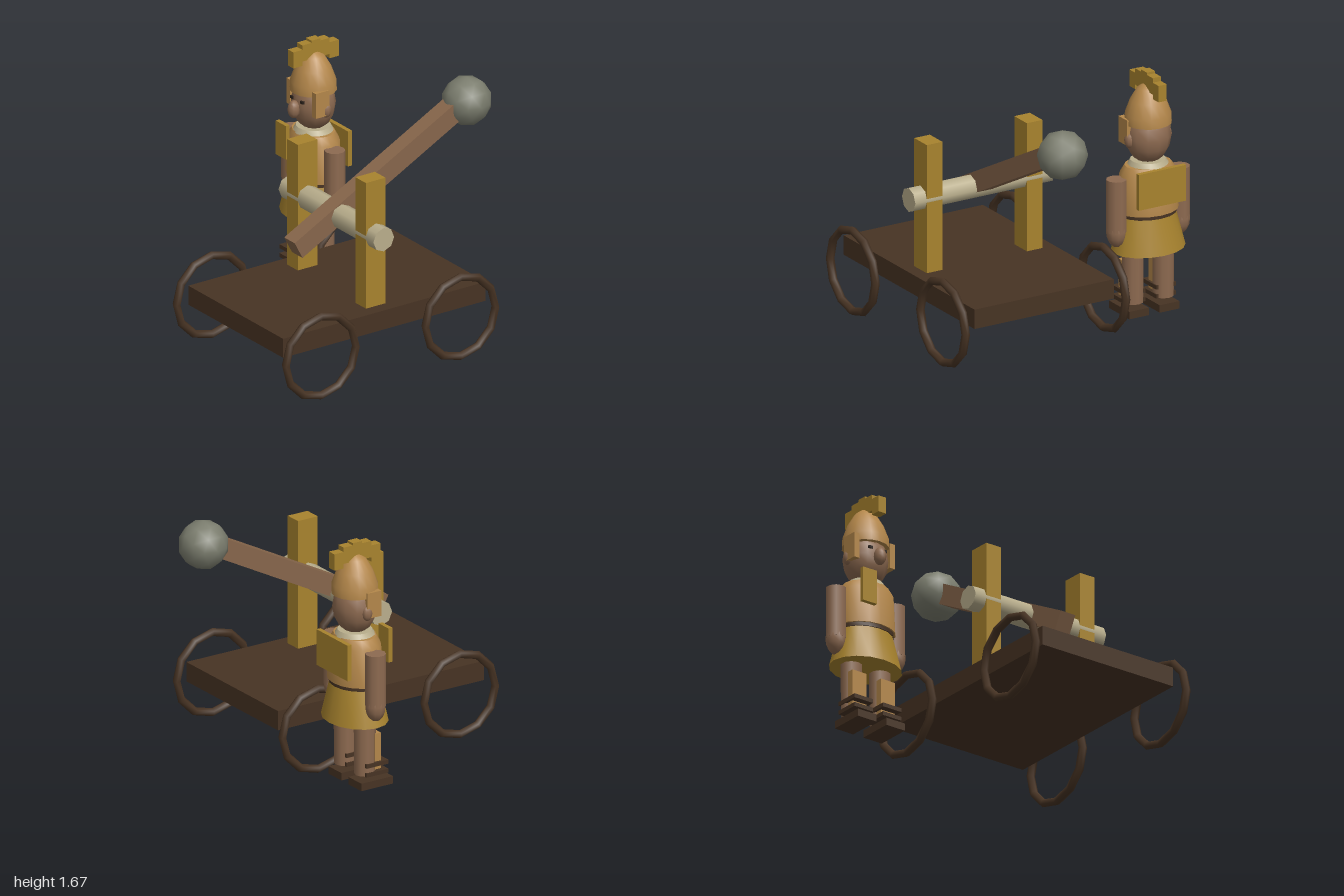
import * as THREE from 'three';
import { toCreasedNormals } from 'three/addons/utils/BufferGeometryUtils.js';

const material = (name, color) => {
  const m = new THREE.MeshStandardMaterial({ color });
  m.name = name;
  return m;
};

export function createModel() {
  const model = new THREE.Group();
  model.name = 'catapultAndSoldier';
  const gold = material('gold', 0xa8832e);
  const tan = material('tan', 0xb4874a);
  const skin = material('skin', 0x8d6a50);
  const timber = material('timber', 0x87664b);
  const darkWood = material('darkWood', 0x473323);
  const cream = material('cream', 0xb9ae8c);
  const stone = material('stone', 0x7b7d6e);
  const black = material('eyeBlack', 0x2b211b);

  const add = (parent, name, geometry, mat, x, y, z) => {
    const mesh = new THREE.Mesh(geometry, mat);
    mesh.name = name;
    mesh.position.set(x, y, z);
    parent.add(mesh);
    return mesh;
  };
  const box = (parent, name, mat, w, h, d, x, y, z) =>
    add(parent, name, new THREE.BoxGeometry(w, h, d), mat, x, y, z);
  const ball = (parent, name, mat, rx, ry, rz, x, y, z, seg = 12) => {
    const g = new THREE.SphereGeometry(1, seg, 8).scale(rx, ry, rz);
    return add(parent, name, g, mat, x, y, z);
  };
  // Turned part with an oval section
  const turned = (parent, name, mat, profile, depth) => {
    const points = profile.map(([r, y]) => new THREE.Vector2(r, y));
    const g = new THREE.LatheGeometry(points, 16).scale(1, 1, depth);
    return add(parent, name, toCreasedNormals(g, 0.8), mat, 0, 0, 0);
  };

  // Cart
  const cart = new THREE.Group();
  cart.name = 'catapult';
  cart.position.set(0.3125, 0, 0);
  model.add(cart);
  box(cart, 'deck', darkWood, 1.03, 0.13, 1.56, 0, 0.385, 0.16);
  for (const side of [-1, 1]) {
    box(cart, 'post', gold, 0.115, 0.86, 0.15, side * 0.37, 0.88, 0.165);
    for (const z of [0.705, -0.37]) {
      const g = new THREE.TorusGeometry(0.27, 0.027, 6, 12).rotateY(Math.PI / 2);
      add(cart, 'wheel', g, darkWood, side * 0.593, 0.302, z);
    }
  }
  const axle = new THREE.CylinderGeometry(0.08, 0.08, 1.03, 8).rotateZ(Math.PI / 2);
  add(cart, 'axle', axle, cream, 0, 0.935, 0.165);

  // Throwing arm and its stone
  const tilt = 0.482, length = 1.44;
  const arm = box(cart, 'throwingArm', timber, 0.115, 0.13, length, 0,
    0.781 + Math.sin(tilt) * length / 2, 0.496 - Math.cos(tilt) * length / 2);
  arm.rotation.x = tilt;
  add(cart, 'stoneBall', new THREE.IcosahedronGeometry(0.162, 1), stone, 0, 1.456, -0.838);

  // Soldier
  const soldier = new THREE.Group();
  soldier.name = 'soldier';
  soldier.position.set(-0.635, 0, -0.33);
  model.add(soldier);
  turned(soldier, 'skirt', gold, [[0, 0.49], [0.25, 0.49], [0.185, 0.735], [0, 0.735]], 0.78);
  turned(soldier, 'belt', darkWood, [[0, 0.725], [0.192, 0.725], [0.192, 0.75], [0, 0.75]], 0.8);
  turned(soldier, 'tunic', tan,
    [[0, 0.75], [0.205, 0.75], [0.193, 1.0], [0.158, 1.055], [0, 1.055]], 0.79);
  turned(soldier, 'collar', cream, [[0, 1.05], [0.135, 1.05], [0.115, 1.085], [0, 1.085]], 0.95);
  box(soldier, 'chestPlate', gold, 0.11, 0.23, 0.03, -0.1, 0.985, 0.165);
  box(soldier, 'backPlate', gold, 0.35, 0.24, 0.03, 0, 0.94, -0.158);

  // Head
  ball(soldier, 'head', skin, 0.15, 0.18, 0.14, 0, 1.24, 0);
  ball(soldier, 'nose', skin, 0.04, 0.06, 0.042, 0, 1.225, 0.15, 10);
  turned(soldier, 'helmet', tan, [[0, 1.33], [0.152, 1.33], [0.15, 1.39], [0.117, 1.48],
    [0.07, 1.56], [0.03, 1.59], [0, 1.597]], 0.98);

  // Stepped crest
  for (let i = -2; i <= 2; i++) {
    const step = Math.abs(i);
    const top = [1.675, 1.66, 1.63][step], bottom = [1.57, 1.55, 1.52][step];
    box(soldier, 'crestBlock', gold, 0.06, top - bottom, 0.07, 0, (top + bottom) / 2, i * 0.07);
  }

  // Paired parts
  for (const side of [-1, 1]) {
    box(soldier, 'eye', black, 0.028, 0.017, 0.02, side * 0.055, 1.283, 0.122);
    ball(soldier, 'ear', skin, 0.03, 0.05, 0.035, side * 0.14, 1.23, 0, 8);
    box(soldier, 'cheekGuard', tan, 0.04, 0.17, 0.105, side * 0.14, 1.285, 0.042);
    add(soldier, 'arm', new THREE.CylinderGeometry(0.067, 0.067, 0.35, 10), skin,
      side * 0.233, 0.815, 0);
    ball(soldier, 'hand', skin, 0.067, 0.105, 0.067, side * 0.233, 0.64, 0, 10);

    const x = side * 0.1125;
    add(soldier, 'leg', new THREE.CylinderGeometry(0.07, 0.068, 0.36, 10), skin, x, 0.325, 0);
    box(soldier, 'greave', tan, 0.11, 0.24, 0.045, x, 0.298, 0.062);
    for (const y of [0.157, 0.217])
      box(soldier, 'sandalStrap', darkWood, 0.145, 0.027, 0.165, x, y, 0.048);
    box(soldier, 'sandalSole', darkWood, 0.145, 0.05, 0.24, x, 0.087, 0.045);
  }
  return model;
}
